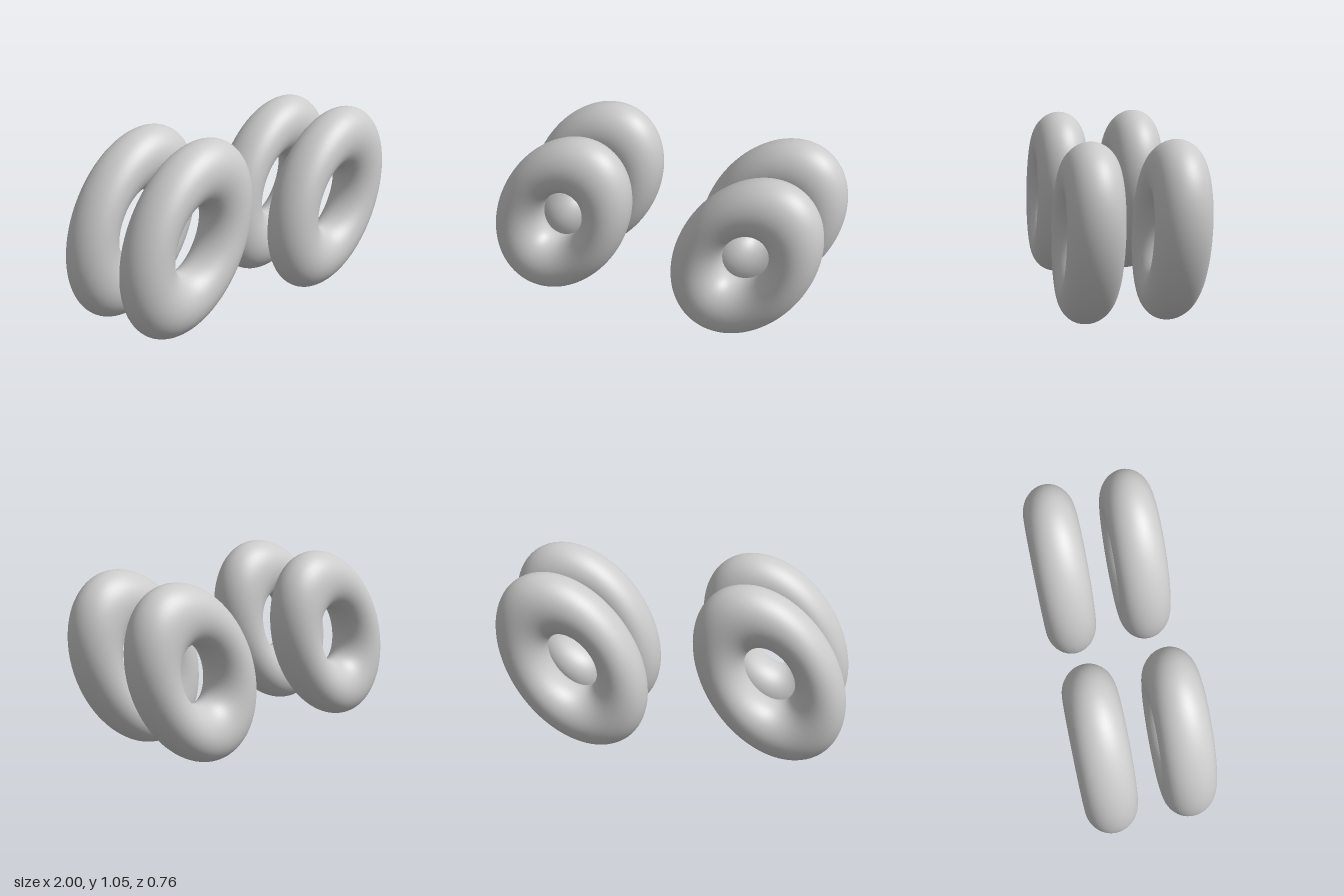
import * as THREE from 'three';

// Four identical oval rings, stretched along an axis leaning 60 degrees towards +x
export function createModel() {
  const model = new THREE.Group();
  const material = new THREE.MeshStandardMaterial({ color: 0xcccccc });

  // Outer radius 1, tube radius one third; stretched, then tilted in the front plane
  const ring = new THREE.TorusGeometry(2 / 3, 1 / 3, 48, 96);
  ring.scale(0.568, 0.379, 0.152 * 3);
  ring.rotateZ(Math.PI / 3);

  for (const [side, x] of [['left', 0.565], ['right', -0.565]]) {
    for (const [end, z] of [['Front', 0.229], ['Back', -0.229]]) {
      const mesh = new THREE.Mesh(ring, material);
      mesh.name = `${side}${end}Ring`;
      mesh.position.set(x, 0.528, z);
      model.add(mesh);
    }
  }
  return model;
}
